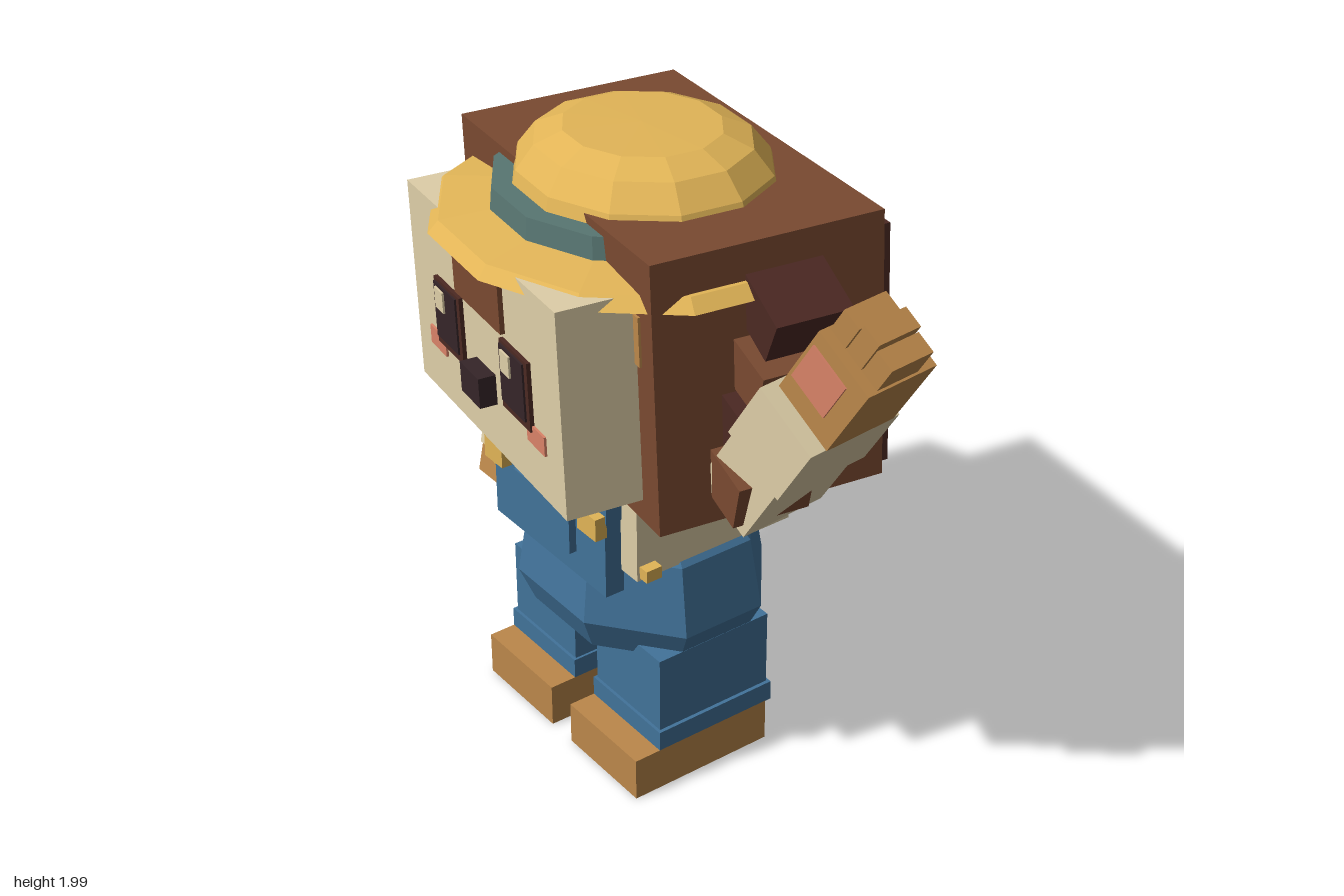
import * as THREE from 'three';

const mat = (name, color) => {
  const m = new THREE.MeshStandardMaterial({ color, flatShading: true });
  m.name = name;
  return m;
};

export function createModel() {
  const brown = mat('fur brown', 0x7a4a31);
  const dark = mat('dark brown', 0x4c2923);
  const black = mat('eye black', 0x352528);
  const cream = mat('cream', 0xdfcfa8);
  const straw = mat('straw yellow', 0xe2b557);
  const teal = mat('band teal', 0x587672);
  const blue = mat('denim blue', 0x42739a);
  const tan = mat('tan', 0xbc884b);
  const pink = mat('pink', 0xda8368);

  const root = new THREE.Group();
  root.name = 'bear in overalls';

  const group = (name, parent, x, y, z) => {
    const g = new THREE.Group();
    g.name = name;
    g.position.set(x, y, z);
    parent.add(g);
    return g;
  };
  // Box given by its size and centre
  const box = (name, parent, m, w, h, d, x, y, z) => {
    const mesh = new THREE.Mesh(new THREE.BoxGeometry(w, h, d), m);
    mesh.name = name;
    mesh.position.set(x, y, z);
    parent.add(mesh);
    return mesh;
  };
  // Faceted oval solid with a flat side to the front
  const oval = (name, parent, m, profile, sides, depth, z) => {
    const pts = profile.map(p => new THREE.Vector2(p[0], p[1]));
    const geo = new THREE.LatheGeometry(pts, sides, Math.PI / sides);
    geo.scale(1, 1, depth);
    const mesh = new THREE.Mesh(geo, m);
    mesh.name = name;
    mesh.position.z = z;
    parent.add(mesh);
    return mesh;
  };

  // ---- Body ----
  const body = group('body', root, -0.158, 0, -0.015);
  for (const s of [-1, 1]) {
    box('shoe', body, tan, 0.35, 0.145, 0.5, s * 0.227, 0.0725, 0.065);
    box('trouserCuff', body, blue, 0.35, 0.068, 0.43, s * 0.227, 0.178, 0.01);
    box('trouserLeg', body, blue, 0.33, 0.28, 0.41, s * 0.225, 0.33, 0.01);
    box('strapFront', body, blue, 0.108, 0.15, 0.06, s * 0.242, 1.035, 0.305);
    box('bibButton', body, straw, 0.094, 0.075, 0.04, s * 0.245, 0.952, 0.35);
    box('hipButton', body, straw, 0.04, 0.04, 0.055, s * 0.385, 0.81, 0.243);
    const strap = box('strapBack', body, blue, 0.07, 0.46, 0.03, 0, 0.92, -0.3);
    strap.rotation.z = s * 0.75;
    strap.position.z -= s * 0.003;
  }
  const k = 1 / Math.cos(Math.PI / 8);
  oval('trousers', body, blue,
    [[0, 0.43], [0.37 * k, 0.43], [0.425 * k, 0.545], [0.385 * k, 0.77], [0.33 * k, 0.83], [0, 0.83]],
    8, 0.8, 0);
  box('shirt', body, cream, 0.74, 0.36, 0.565, 0, 0.96, -0.003);
  box('bib', body, blue, 0.58, 0.3, 0.065, 0, 0.852, 0.303);
  box('pocket', body, blue, 0.28, 0.155, 0.03, 0, 0.862, 0.345);
  box('pocketFlap', body, blue, 0.286, 0.03, 0.034, 0, 0.925, 0.347);
  box('tail', body, dark, 0.16, 0.11, 0.15, 0, 0.59, -0.39);

  // ---- Lowered right arm ----
  const rightArm = group('rightArm', root, -0.66, 1.08, -0.02);
  rightArm.rotation.x = -0.2;
  box('sleeve', rightArm, cream, 0.215, 0.3, 0.22, 0, -0.1, 0);
  box('sleeveCuff', rightArm, cream, 0.23, 0.15, 0.235, 0, -0.305, 0);
  box('hand', rightArm, tan, 0.225, 0.1, 0.22, 0, -0.43, 0);

  // ---- Raised left arm, measured from the wrist ----
  const leftArm = group('leftArm', root, 0.715, 1.54, -0.015);
  leftArm.rotation.set(0, 0.08, -0.56);
  box('sleeve', leftArm, cream, 0.21, 0.28, 0.3, -0.005, -0.34, 0);
  box('sleeveCuff', leftArm, cream, 0.235, 0.23, 0.33, 0, -0.115, 0);
  box('hand', leftArm, tan, 0.22, 0.27, 0.25, 0.01, 0.135, -0.015);
  box('palmPad', leftArm, pink, 0.145, 0.145, 0.009, -0.015, 0.15, 0.112);
  [[-0.06, 0.36], [0.01, 0.385], [0.08, 0.365]].forEach(([x, top]) =>
    box('finger', leftArm, tan, 0.066, top - 0.24, 0.15, x, (top + 0.24) / 2, 0));

  // ---- Head, turned and tilted ----
  const head = group('head', root, -0.188, 1.44, -0.142);
  head.rotation.set(0, -0.166, 0.066, 'YXZ');
  box('furBlock', head, brown, 1.27, 0.83, 0.72, 0, 0, 0);
  box('backHair', head, dark, 1.19, 0.75, 0.05, 0, -0.025, -0.378);
  box('innerEar', head, tan, 0.07, 0.15, 0.009, 0.53, 0.16, 0.363);
  const face = group('faceParts', head, 0.01, 0, 0);
  box('face', face, cream, 1.05, 0.64, 0.25, 0, -0.025, 0.47);
  box('fringe', face, brown, 0.33, 0.21, 0.03, 0, 0.185, 0.595);
  box('nose', face, black, 0.135, 0.095, 0.07, 0.003, -0.14, 0.615);
  for (const s of [-1, 1]) {
    box('eyeFrame', face, dark, 0.19, 0.215, 0.02, s * 0.24, -0.045, 0.598);
    box('eye', face, black, 0.16, 0.18, 0.02, s * 0.24 - 0.006, -0.038, 0.604);
    box('eyeGlint', face, cream, 0.06, 0.067, 0.009, s * 0.24 - 0.036, 0.008, 0.616);
    box('cheek', face, pink, 0.118, 0.06, 0.009, s * 0.355, -0.163, 0.598);
    // Layered side tufts, stepping forward towards the jaw
    [0.22, 0.05, -0.11, -0.27].forEach((y, i) => {
      const tuft = box('sideTuft', head, i % 2 ? brown : dark, 0.22, 0.145, 0.24,
        s * 0.675, y, -0.045 + 0.04 * i);
      tuft.rotation.z = s * -(i ? 0.3 : 0.48);
    });
  }

  // ---- Straw hat ----
  const hat = group('strawHat', head, 0, 0, 0);
  oval('brim', hat, straw,
    [[0.44, 0.235], [0.62, 0.235], [0.71, 0.265], [0.67, 0.303], [0.44, 0.328], [0.44, 0.235]],
    12, 0.82, 0.105);
  oval('hatBand', hat, teal,
    [[0.49, 0.28], [0.475, 0.39], [0, 0.39]], 12, 0.82, 0.11);
  oval('crown', hat, straw,
    [[0.455, 0.37], [0.435, 0.43], [0.37, 0.502], [0.27, 0.538], [0, 0.543]], 12, 0.84, 0.06);

  return root;
}
